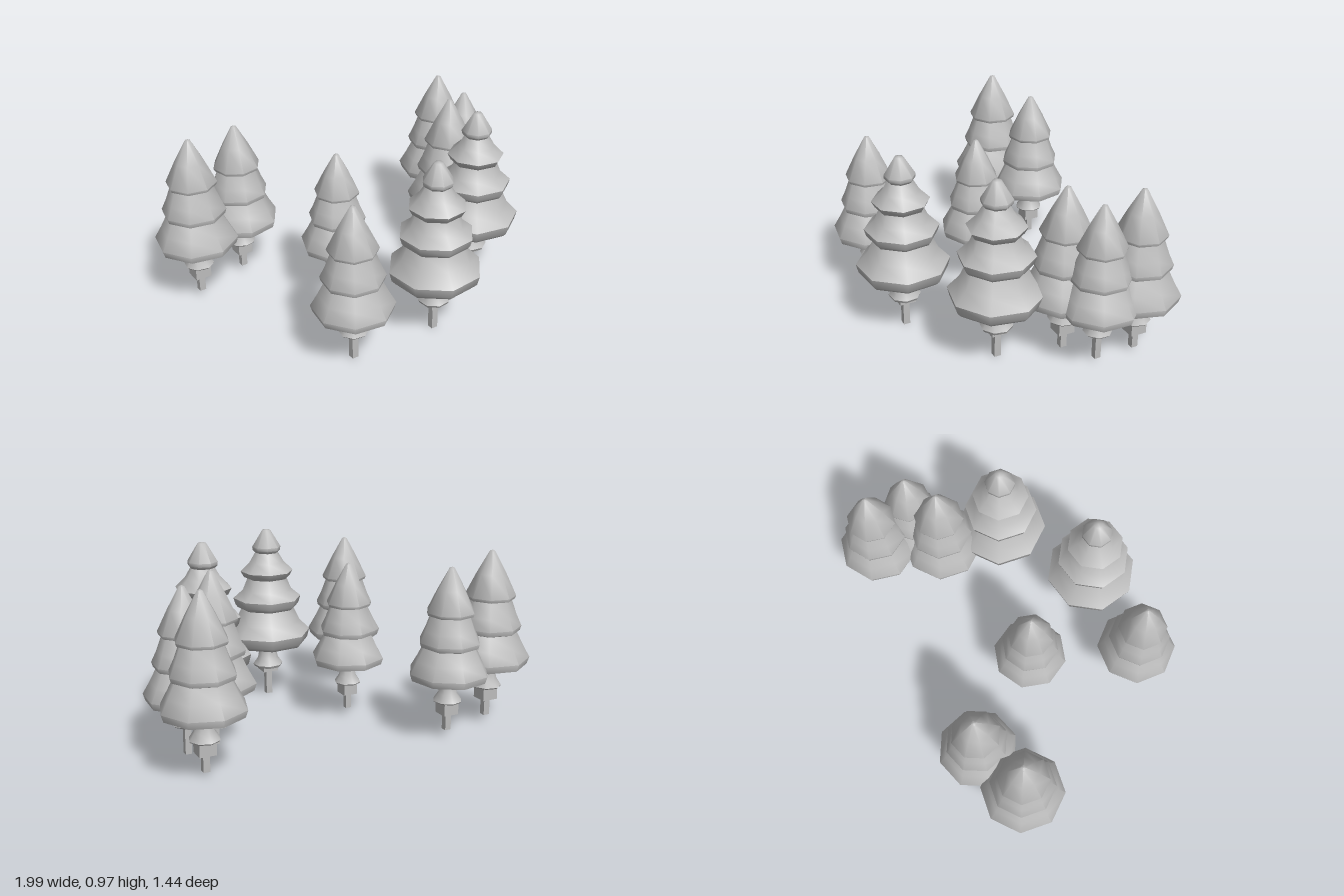
import * as THREE from 'three';
import { toCreasedNormals } from 'three/addons/utils/BufferGeometryUtils.js';

export function createModel() {
  const model = new THREE.Group();
  model.name = 'pineGrove';
  const grey = new THREE.MeshStandardMaterial({ color: 0xbcbcbc });
  grey.name = 'paleGrey';

  const add = (parent, name, geo, x = 0, y = 0, z = 0) => {
    const mesh = new THREE.Mesh(geo, grey);
    mesh.name = name;
    mesh.position.set(x, y, z);
    parent.add(mesh);
    return mesh;
  };

  // Eight-sided turned form, smooth around and sharp at the rims
  const turned = (points) => toCreasedNormals(
    new THREE.LatheGeometry(points.map(([r, y]) => new THREE.Vector2(r, y)), 8), 0.9);

  // Profiles run from the underside to the tip, measured from the stake's foot
  const slim = {
    foliage: turned([
      [0, 0.288], [0.203, 0.288], [0.215, 0.325], [0.178, 0.39], [0.142, 0.462],
      [0.158, 0.468], [0.165, 0.492], [0.138, 0.55], [0.108, 0.632],
      [0.124, 0.634], [0.130, 0.65], [0.075, 0.765], [0.014, 0.878], [0, 0.885],
    ]),
    skirt: turned([
      [0, 0.158], [0.072, 0.158], [0.078, 0.165], [0.052, 0.205], [0.042, 0.25], [0.036, 0.3],
    ]),
    blockTop: 0.165, blockFoot: 0.09,
  };
  const wide = {
    foliage: turned([
      [0, 0.303], [0.208, 0.303], [0.226, 0.322], [0.238, 0.37], [0.18, 0.43], [0.145, 0.505],
      [0.165, 0.512], [0.178, 0.53], [0.188, 0.565], [0.135, 0.61], [0.108, 0.675],
      [0.127, 0.682], [0.145, 0.715], [0.094, 0.765], [0.063, 0.818],
      [0.076, 0.832], [0.078, 0.85], [0.022, 0.942], [0, 0.947],
    ]),
    skirt: turned([
      [0, 0.163], [0.076, 0.163], [0.083, 0.177], [0.056, 0.215], [0.048, 0.26], [0.044, 0.31],
    ]),
    blockTop: 0.17, blockFoot: 0.137,
  };

  // style, x, z, lift, scale, turn, block under the skirt
  const trees = [
    [slim, -0.79, -0.43, 0.045, 1.0, 0.2, true],
    [slim, -0.49, -0.52, 0.045, 0.955, 0.61, true],
    [slim, -0.18, -0.03, 0.05, 0.895, 0.03, true],
    [slim, -0.425, 0.48, 0.017, 0.958, 0.25, false],
    [wide, 0.055, 0.49, 0.003, 1.0, 0.5, true],
    [wide, 0.53, 0.205, 0.015, 1.01, 0.2, true],
    [slim, 0.61, -0.12, 0.02, 1.0, 0.2, true],
    [slim, 0.785, -0.21, 0.035, 0.943, 0.35, false],
    [slim, 0.775, -0.43, 0.027, 0.985, 0.1, true],
  ];

  trees.forEach(([style, x, z, lift, scale, turn, hasBlock], i) => {
    const tree = new THREE.Group();
    tree.name = 'tree' + (i + 1);
    tree.position.set(x, lift, z);
    tree.scale.setScalar(scale);
    add(tree, 'foliage', style.foliage).rotation.y = turn;
    add(tree, 'trunkSkirt', style.skirt).rotation.y = turn;
    // Square stake and the block it carries
    const stake = style.blockTop;
    add(tree, 'stake', new THREE.BoxGeometry(0.034, stake, 0.034), 0, stake / 2, 0);
    if (hasBlock) {
      const h = style.blockTop - style.blockFoot;
      add(tree, 'block', new THREE.BoxGeometry(0.086, h, 0.086), 0, style.blockFoot + h / 2, 0);
    }
    model.add(tree);
  });

  // Thin loose plate between the trunks
  add(model, 'loosePlate', new THREE.CylinderGeometry(0.07, 0.07, 0.008, 8), 0.64, 0.26, -0.09);

  return model;
}
